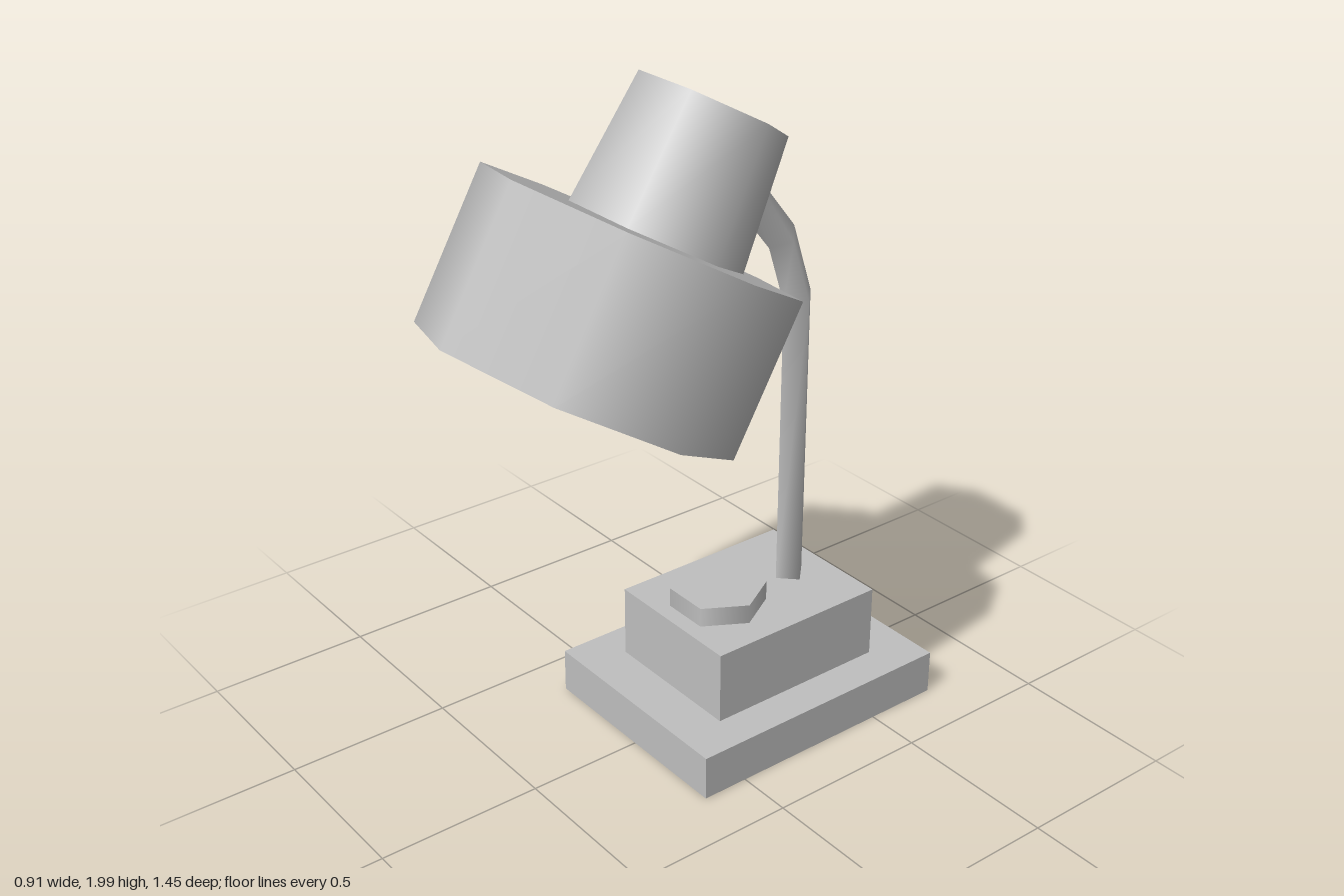
import * as THREE from 'three';
import { toCreasedNormals } from 'three/addons/utils/BufferGeometryUtils.js';

export function createModel() {
  const lamp = new THREE.Group();
  lamp.name = 'deskLamp';
  const grey = new THREE.MeshStandardMaterial({ color: 0xbfbfbf, side: THREE.DoubleSide });
  grey.name = 'plain grey';

  const add = (parent, name, geometry, x = 0, y = 0, z = 0) => {
    const mesh = new THREE.Mesh(geometry, grey);
    mesh.name = name;
    mesh.position.set(x, y, z);
    parent.add(mesh);
    return mesh;
  };
  const cx = -0.011; // base and stem sit slightly off the middle

  // Stepped base with a hexagonal button
  add(lamp, 'basePlate', new THREE.BoxGeometry(0.69, 0.137, 0.873), cx, 0.0685, -0.292);
  add(lamp, 'baseBlock', new THREE.BoxGeometry(0.456, 0.223, 0.585), cx, 0.2485, -0.292);
  add(lamp, 'button', new THREE.CylinderGeometry(0.144, 0.144, 0.06, 6, 1, false, Math.PI / 6), cx, 0.39, -0.175);

  // Four-sided stem, bent by placing each ring on a path: [y, z, lean]
  const path = [[0.35, -0.45, 0], [1.27, -0.45, 0.157], [1.466, -0.386, 0.497], [1.695, -0.203, 0.675]];
  const stem = new THREE.CylinderGeometry(0.051, 0.051, 3, 4, 3, true);
  const pos = stem.attributes.position;
  for (let i = 0; i < pos.count; i++) {
    const [y, z, lean] = path[Math.round(pos.getY(i) + 1.5)];
    const depth = pos.getZ(i);
    pos.setXYZ(i, pos.getX(i), y - depth * Math.sin(lean), z + depth * Math.cos(lean));
  }
  add(lamp, 'stem', toCreasedNormals(stem, 1.75), cx);

  // Tilted head, its origin at the middle of the shade's top
  const head = new THREE.Group();
  head.name = 'head';
  head.position.set(0, 1.6, 0.1055);
  head.rotation.x = -Math.PI / 6;
  lamp.add(head);

  const r = 0.456, h = 0.452, hollow = 0.26;
  add(head, 'shadeWall', new THREE.CylinderGeometry(r, r, h, 8, 1, true), 0, -h / 2, 0);
  add(head, 'shadeTop', new THREE.CircleGeometry(r, 8).rotateX(-Math.PI / 2));
  add(head, 'shadeInside', new THREE.ConeGeometry(r, hollow, 8, 1, true), 0, -h + hollow / 2, 0);
  add(head, 'neck', new THREE.CylinderGeometry(0.217, 0.253, 0.377, 6, 1, false, Math.PI / 6), 0, 0.1885, -0.058);

  return lamp;
}
